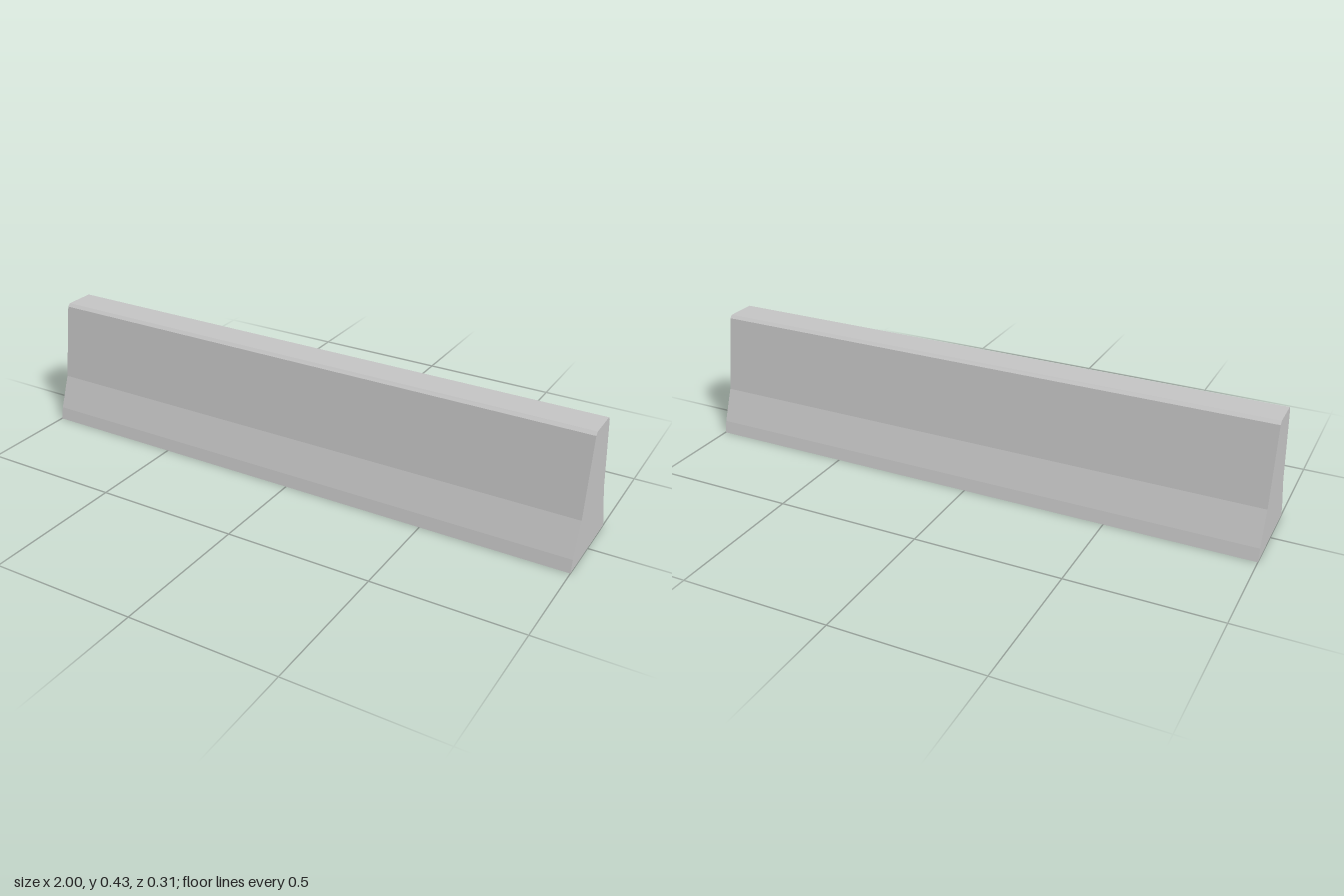
import * as THREE from 'three';

// Half of the cross-section as [z, y], from the base up to the chamfered top
const HALF = [[0.157, 0], [0.147, 0.043], [0.105, 0.157], [0.063, 0.422], [0.053, 0.432]];
const LENGTH = 2;

export function createModel() {
  const group = new THREE.Group();
  group.name = 'roadBarrier';
  const concrete = new THREE.MeshStandardMaterial({ color: 0xc4c4c4, side: THREE.DoubleSide });
  concrete.name = 'concrete';

  // Full outline: up the back, over the top, down the front
  const outline = [...HALF.map(([z, y]) => [-z, y]), ...HALF.slice().reverse()];

  // Sloped walls and top: a plane folded along the outline, open underneath
  const folded = new THREE.PlaneGeometry(LENGTH, 1, 1, outline.length - 1);
  const pos = folded.attributes.position;
  outline.forEach(([z, y], row) => {
    for (let col = 0; col < 2; col++) pos.setXYZ(row * 2 + col, (col - 0.5) * LENGTH, y, z);
  });
  const shellGeometry = folded.toNonIndexed();
  shellGeometry.computeVertexNormals();
  const shell = new THREE.Mesh(shellGeometry, concrete);
  shell.name = 'barrierWalls';
  group.add(shell);

  // Flat end walls
  const profile = new THREE.Shape(outline.map(([z, y]) => new THREE.Vector2(z, y)));
  for (const side of [1, -1]) {
    const end = new THREE.Mesh(new THREE.ShapeGeometry(profile), concrete);
    end.rotation.y = side * Math.PI / 2;
    end.position.x = side * LENGTH / 2;
    end.name = side > 0 ? 'leftEnd' : 'rightEnd';
    group.add(end);
  }
  return group;
}
